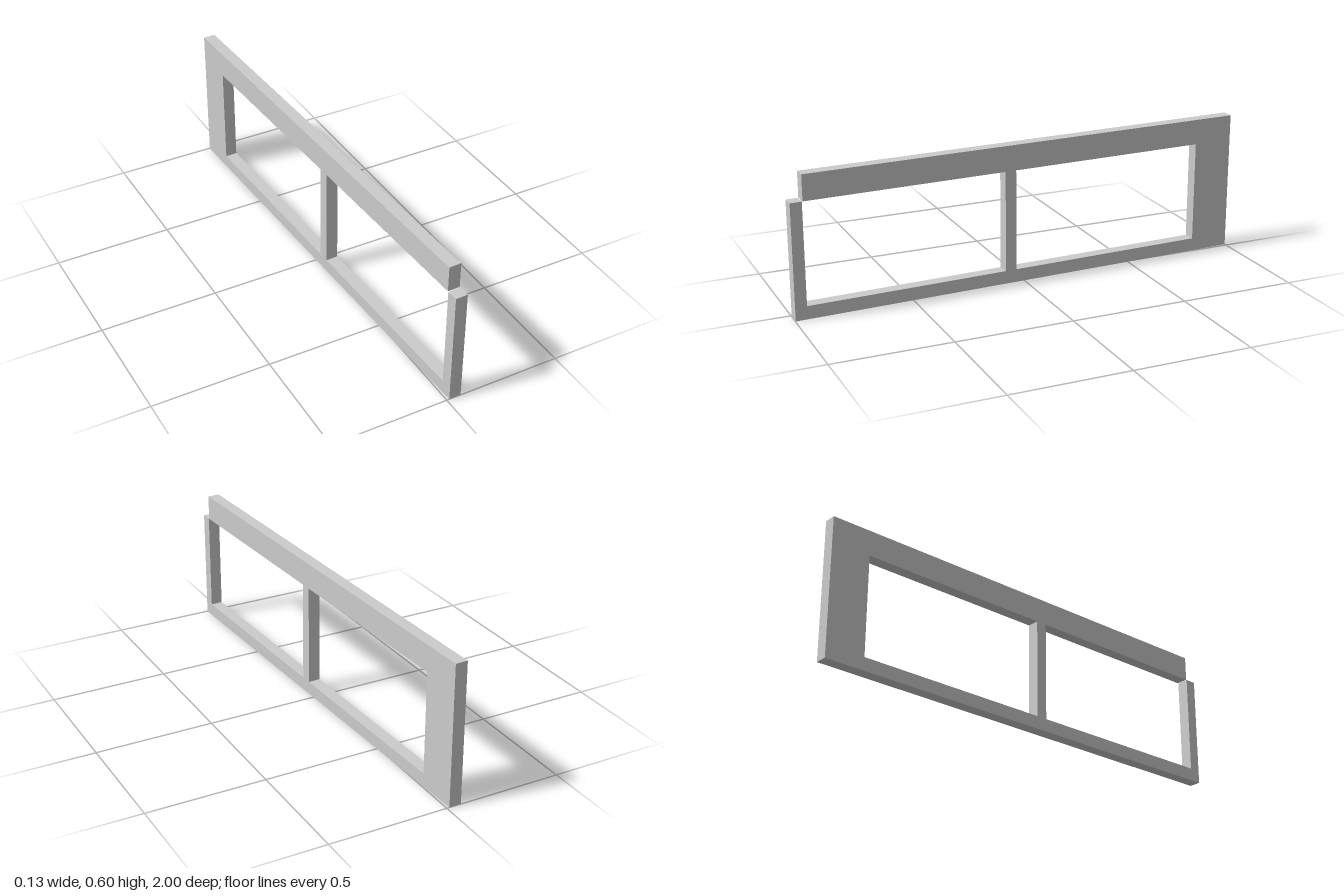
import * as THREE from 'three';

const THICK = 0.052, HALF = 0.9998, TURN = 0.037;

const points = (list) => list.map(([z, y]) => new THREE.Vector2(z, y));

export function createModel() {
  const group = new THREE.Group();
  group.name = 'windowWall';

  // Side profile (z, y): sill, front post, open front bay, mullion, header and rear pier
  const profile = new THREE.Shape(points([
    [-HALF, 0], [HALF, 0], [HALF, 0.489], [0.951, 0.489], [0.951, 0.056],
    [0.086, 0.056], [0.086, 0.489], [0.948, 0.489], [0.948, 0.598], [-HALF, 0.598],
  ]));

  // Rear window opening
  profile.holes.push(new THREE.Path(points([
    [-0.826, 0.056], [-0.826, 0.489], [0.038, 0.489], [0.038, 0.056],
  ])));

  // Extrude the thickness, then turn the profile to run along z
  const geometry = new THREE.ExtrudeGeometry(profile, { depth: THICK, bevelEnabled: false });
  geometry.translate(0, 0, -THICK / 2);
  geometry.rotateY(-Math.PI / 2);

  const wall = new THREE.Mesh(geometry, new THREE.MeshStandardMaterial({ color: 0xcccccc, flatShading: true }));
  wall.name = 'wallFrame';
  wall.rotation.y = TURN; // the frame stands slightly askew
  group.add(wall);
  return group;
}
